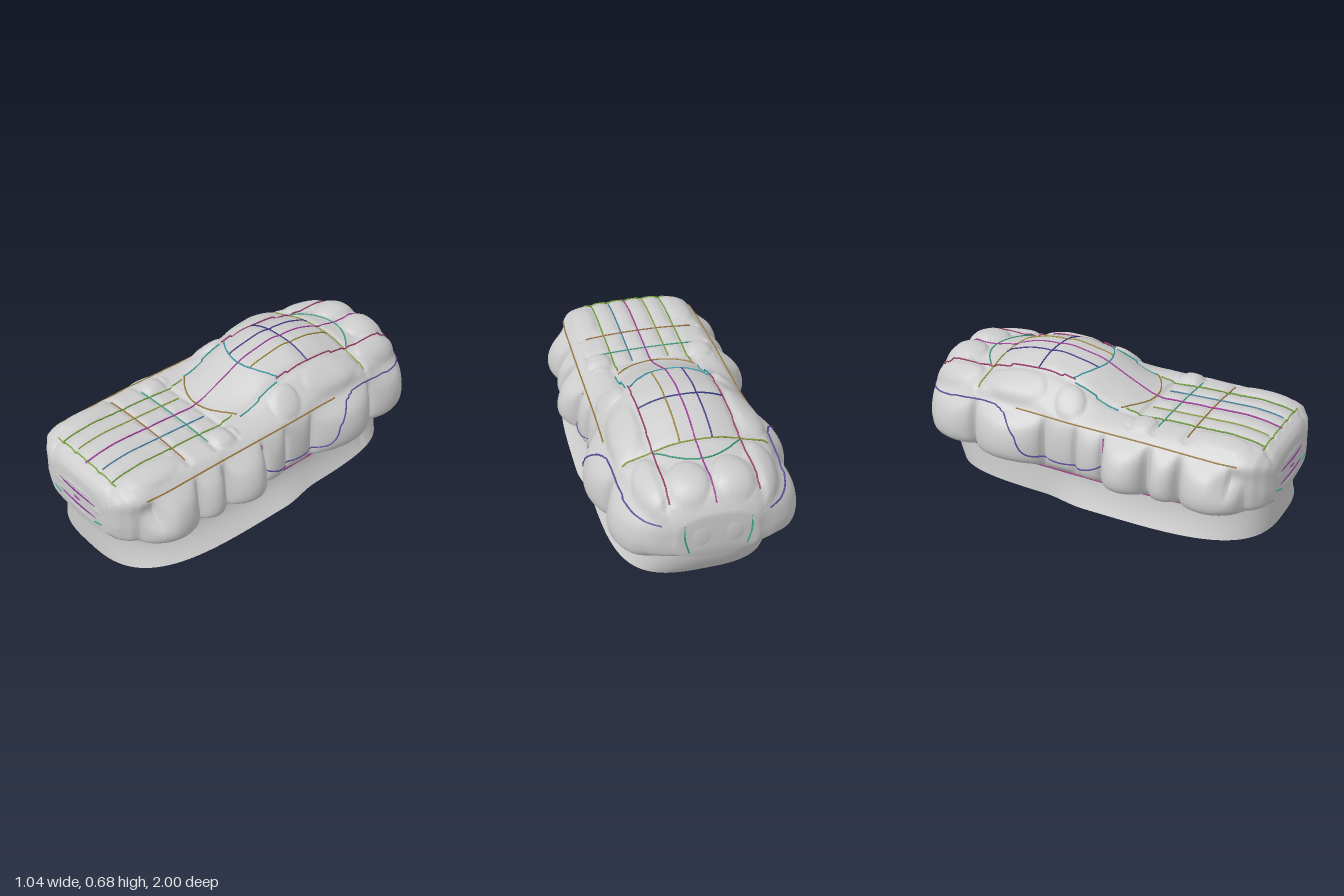
import * as THREE from 'three';

const Z0 = 0.99, Z1 = -0.99, STATIONS = 210, ARC = 120;
const { lerp, smoothstep, clamp } = THREE.MathUtils;
const dip = (v, w) => Math.exp(-((v / w) ** 2));

// Body stations: z, roof y, belt x, belt y, haunch x, haunch y, roof edge x, roof edge y, side base x
const KEYS = [
  [0.99, 0.42, 0.22, 0.37, 0.19, 0.39, 0.13, 0.41, 0.23],
  [0.96, 0.475, 0.32, 0.43, 0.29, 0.45, 0.2, 0.47, 0.32],
  [0.88, 0.505, 0.37, 0.44, 0.31, 0.485, 0.2, 0.5, 0.37],
  [0.75, 0.52, 0.38, 0.44, 0.32, 0.49, 0.2, 0.51, 0.4],
  [0.4, 0.505, 0.385, 0.45, 0.32, 0.49, 0.2, 0.5, 0.41],
  [0.24, 0.495, 0.385, 0.45, 0.32, 0.485, 0.21, 0.49, 0.41],
  [0.1, 0.56, 0.385, 0.45, 0.32, 0.485, 0.22, 0.51, 0.4],
  [-0.06, 0.64, 0.385, 0.45, 0.33, 0.5, 0.23, 0.58, 0.39],
  [-0.25, 0.675, 0.39, 0.46, 0.345, 0.53, 0.23, 0.62, 0.4],
  [-0.45, 0.657, 0.4, 0.47, 0.365, 0.535, 0.22, 0.605, 0.41],
  [-0.62, 0.6, 0.39, 0.47, 0.34, 0.525, 0.2, 0.57, 0.405],
  [-0.73, 0.572, 0.37, 0.46, 0.32, 0.51, 0.2, 0.55, 0.395],
  [-0.85, 0.57, 0.34, 0.45, 0.29, 0.5, 0.19, 0.55, 0.36],
  [-0.94, 0.545, 0.28, 0.43, 0.25, 0.48, 0.17, 0.52, 0.29],
  [-0.99, 0.45, 0.18, 0.38, 0.16, 0.41, 0.1, 0.44, 0.19],
];
// Side pillows: front z, rear z, bulge
const PILLOWS = [
  [0.88, 0.58, 0.095], [0.56, 0.42, 0.075], [0.39, 0.16, 0.11], [0.15, 0.0, 0.05],
  [-0.01, -0.18, 0.035], [-0.19, -0.59, 0.105], [-0.61, -0.97, 0.075],
];
// Upper pillows, mirrored: x, z, x radius, z radius, height
const PUFFS = [
  [0.11, -0.84, 0.1, 0.12, 0.035], [0.27, -0.78, 0.08, 0.15, 0.03], [0.31, -0.4, 0.08, 0.18, 0.02],
  [0.31, -0.08, 0.07, 0.08, 0.03], [0.28, 0.31, 0.07, 0.08, 0.02], [0.28, 0.74, 0.07, 0.14, 0.012],
];

function linear(z, c) {
  let i = 0;
  while (i < KEYS.length - 2 && z < KEYS[i + 1][0]) i++;
  const a = KEYS[i], b = KEYS[i + 1];
  return lerp(a[c], b[c], clamp((z - a[0]) / (b[0] - a[0]), 0, 1));
}
function key(z, c) {
  const w = Math.min(0.035, Math.max(0, Math.min(Z0 - z, z - Z1)));
  return (linear(z - w, c) + 2 * linear(z, c) + linear(z + w, c)) / 4;
}
function bulge(z) {
  for (const [a, b, amp] of PILLOWS) {
    if (z < a && z > b) return amp * Math.sqrt(1 - ((2 * z - a - b) / (a - b)) ** 2);
  }
  return 0;
}
// Seam between body and skirt
function seamX(z) {
  const t = Math.min(1, Math.abs((z - 0.03) / 0.94));
  return 0.385 * (1 - t ** 4) ** (1 / 3);
}
function seamY(z) {
  const rise = z < -0.88 ? (-0.88 - z) * 0.5 : Math.max(0, z - 0.96) * 0.6;
  return 0.16 + rise + 0.015 * dip(z + 0.6, 0.025);
}
// Height change of the upper panels: grooves along quilting lines, and puffs
function quilt(x, z) {
  const ax = Math.abs(x);
  let d = 0, up = 0;
  if (z > 0.25 && z < 0.93 && ax < 0.34) {
    for (const s of [0, 0.1, 0.2]) d = Math.max(d, dip(ax - s, 0.018));
    for (const s of [0.26, 0.39, 0.56]) d = Math.max(d, dip(z - s, 0.02));
  } else {
    d = dip(ax - 0.225, 0.015);
    if (z < -0.05) d = Math.max(d, dip(z + 0.6, 0.02), ax < 0.23 ? 0.4 * dip(z + 0.32, 0.02) : 0);
  }
  for (const [px, pz, rx, rz, h] of PUFFS) {
    const r = ((ax - px) / rx) ** 2 + ((z - pz) / rz) ** 2;
    if (r < 1) up = Math.max(up, h * Math.sqrt(1 - r));
  }
  return up - 0.012 * d;
}
function section(z) {
  const k = (c) => key(z, c), w = k(8) + bulge(z), y0 = seamY(z), s = Math.min(seamX(z), w);
  const wTop = k(8) + bulge(z + 0.06 * smoothstep(z, 0.7, 0.8)); // front fender leans back
  const up = (t) => lerp(y0, k(3), t);
  const half = [
    [s, y0], [lerp(s, w, 0.82), up(0.14)], [w, up(0.4)], [lerp(k(2), wTop, 0.72), up(0.75)],
    [k(2), k(3)], [k(4), k(5)], [k(6), k(7)], [k(6) * 0.5, lerp(k(7), k(1), 0.8)],
  ];
  const pts = half.map(([x, y]) => new THREE.Vector2(x, y));
  const mirror = half.map(([x, y]) => new THREE.Vector2(-x, y)).reverse();
  const out = new THREE.SplineCurve([...pts, new THREE.Vector2(0, k(1)), ...mirror]).getPoints(ARC);
  for (const p of out) p.y += quilt(p.x, z) * smoothstep(p.y, k(3), k(3) + 0.02);
  return out;
}
// Outermost surface coordinate where the section crosses a value on the other axis
function reach(z, axis, value) {
  const other = axis === 'x' ? 'y' : 'x', p = section(z);
  let best = 0;
  for (let i = 0; i < ARC; i++) {
    const a = p[i], b = p[i + 1];
    if ((a[axis] - value) * (b[axis] - value) <= 0) best = Math.max(best, a[other], b[other]);
  }
  return best + 0.001;
}
// Surface joining equal rows of points
function loft(rows, capEnds) {
  const n = rows[0].length, pos = rows.flat(2), idx = [];
  for (let r = 0; r < rows.length - 1; r++) {
    for (let i = 0; i < n - 1; i++) {
      const a = r * n + i, b = a + n;
      idx.push(a, a + 1, b, a + 1, b + 1, b);
    }
  }
  if (capEnds) {
    for (const [r, z] of [[0, Z0 + 0.006], [rows.length - 1, Z1 - 0.006]]) {
      const c = pos.length / 3;
      pos.push(0, 0.29, z);
      for (let i = 0; i < n; i++) {
        const a = r * n + i, b = r * n + ((i + 1) % n);
        if (r) idx.push(a, b, c); else idx.push(b, a, c);
      }
    }
  }
  const g = new THREE.BufferGeometry();
  g.setAttribute('position', new THREE.Float32BufferAttribute(pos, 3));
  g.setIndex(idx);
  g.computeVertexNormals();
  return g;
}

export function createModel() {
  const group = new THREE.Group();
  const grey = new THREE.MeshStandardMaterial({ color: 0xcccccc, side: THREE.DoubleSide });
  const add = (name, geo, mat = grey) => {
    const m = new THREE.Mesh(geo, mat);
    m.name = name;
    group.add(m);
    return m;
  };
  const puff = (name, x, y, z, rx, ry, rz) => {
    const m = add(name, new THREE.SphereGeometry(1, 28, 18));
    m.position.set(x, y, z);
    m.scale.set(rx, ry, rz);
  };
  const paint = {};
  const seam = (name, color, pts) => {
    paint[color] ??= new THREE.MeshStandardMaterial({ color });
    const curve = new THREE.CatmullRomCurve3(pts.map((p) => new THREE.Vector3(...p)));
    add(name, new THREE.TubeGeometry(curve, pts.length * 3, 0.004, 6), paint[color]);
  };
  const range = (a, b, n, f) => Array.from({ length: n + 1 }, (_, i) => f(lerp(a, b, i / n)));

  // Open-bottomed quilted body
  add('bodyShell', loft(range(Z0, Z1, STATIONS, (z) => section(z).map((p) => [p.x, p.y, z])), true));

  // Skirt following the seam, flared most at the front, with a small hole on each side
  add('skirt', loft(range(0, 1, 12, (t) => range(0, Math.PI * 2, 320, (a) => {
    const z = 0.03 + 0.94 * Math.cos(a), f = (1 - t) ** 1.8;
    const flare = 1 + f * lerp(0.09, 0.18, smoothstep(z, -0.2, 0.05));
    const tuck = 0.06 * f * clamp((-0.5 - z) / 0.41, 0, 1) ** 2;
    const top = 0.162 - 0.035 * dip(z + 0.6, 0.025);
    return [Math.sign(Math.sin(a)) * seamX(z) * flare + 0.022 * f, t * top, z + tuck];
  })), false));

  // Bar running under the body
  const bar = add('underBar', new THREE.CylinderGeometry(0.022, 0.022, 1.84, 16));
  bar.rotation.x = Math.PI / 2;
  bar.position.set(0.01, 0.138, 0.04);
  puff('barEnd', 0.01, 0.138, -0.83, 0.05, 0.03, 0.05);

  // Nose ribs and tail panel
  for (const y of [0.23, 0.275, 0.32, 0.365]) puff('grilleRib', 0, y, 0.98, 0.19, 0.02, 0.016);
  for (const s of [-1, 1]) {
    puff('headlampPuff', s * 0.15, 0.32, 0.982, 0.06, 0.03, 0.013);
    puff('tailPanelPuff', s * 0.075, 0.34, -0.975, 0.075, 0.09, 0.022);
  }

  // Coloured lines on the upper panels and the sides
  const along = (name, color, x, a, b) =>
    seam(name, color, range(a, b, 50, (z) => [x, reach(z, 'x', x), z]));
  const across = (name, color, z, w) =>
    seam(name, color, range(-w, w, 30, (x) => [x, reach(z, 'x', x), z]));
  const bowed = (name, color, s, z0, bow) => seam(name, color, range(0, 0.21, 10, (x) => {
    const z = z0 - bow * x * x;
    return [s * x, reach(z, 'x', s * x), z];
  }));
  const arch = new THREE.SplineCurve([
    [0.15, 0.27], [0, 0.23], [-0.24, 0.25], [-0.32, 0.36], [-0.4, 0.44],
    [-0.52, 0.465], [-0.75, 0.44], [-0.95, 0.41],
  ].map((p) => new THREE.Vector2(...p))).getPoints(50);

  along('centreLine', 0xa03a9a, 0.005, 0.93, -0.96);
  for (const s of [-1, 1]) {
    along('bonnetLine', 0x6f9a3a, s * 0.2, 0.92, 0.18);
    along('bonnetInnerLine', s > 0 ? 0x3f7f9a : 0x8a9a3a, s * 0.1, 0.9, 0.28);
    along('roofSideLine', 0x9a3a6a, s * 0.215, -0.1, -0.92);
    along('roofInnerLine', s > 0 ? 0x9a8a3a : 0x4a3a8a, s * 0.08, -0.04, -0.6);
    along('pillarLine', 0x3a9a9a, s * 0.225, 0.15, -0.1);
    bowed('windscreenBase', 0x9a7a3a, s, 0.25, 2.2);
    bowed('roofFront', 0x3a9aa8, s, -0.03, 2);
    bowed('rearWindowLine', 0x3a9a7a, s, -0.72, -2.4);
    seam('beltLine', 0x9a7a3a, range(0.85, -0.35, 50, (z) => [s * (key(z, 2) + 0.003), key(z, 3), z]));
    seam('fenderArchLine', 0x5a4a9a, arch.map((p) => [s * reach(p.x, 'y', p.y), p.y, p.x]));
    seam('sideLine', 0x9a3a8a, range(0.19, 0.42, 14, (y) => [s * reach(0.155, 'y', y), y, 0.155]));
    seam('baseLine', 0x9a2a7a, range(0.96, -0.9, 80, (z) => [s * (seamX(z) + 0.003), seamY(z), z]));
    seam('lampLine', 0xb0a83a, [[s * 0.235, 0.4, 0.977], [s * 0.22, 0.35, 0.987]]);
    seam('lowerLampLine', 0x3aa88a, [[s * 0.2, 0.255, 0.99], [s * 0.14, 0.24, 0.996]]);
    seam('tailPanelLine', 0x3aa88a, [[s * 0.16, 0.42, -0.985], [s * 0.16, 0.34, -0.992], [s * 0.14, 0.26, -0.992]]);
  }
  across('bonnetCrossLine', 0x3a9a7a, 0.39, 0.27);
  across('bonnetFrontLine', 0x9a6a3a, 0.56, 0.3);
  across('bonnetEdgeLine', 0x7aa83a, 0.92, 0.24);
  across('roofCrossLine', 0x3a3a8a, -0.32, 0.215);
  across('rearDeckLine', 0x8a9a3a, -0.6, 0.36);
  for (const [y, w] of [[0.265, 0.2], [0.3, 0.05], [0.34, 0.2]]) {
    seam('grilleLine', 0x8a3a9a, [[-w, y, 0.985], [0, y, 0.997], [w, y, 0.985]]);
  }
  return group;
}
